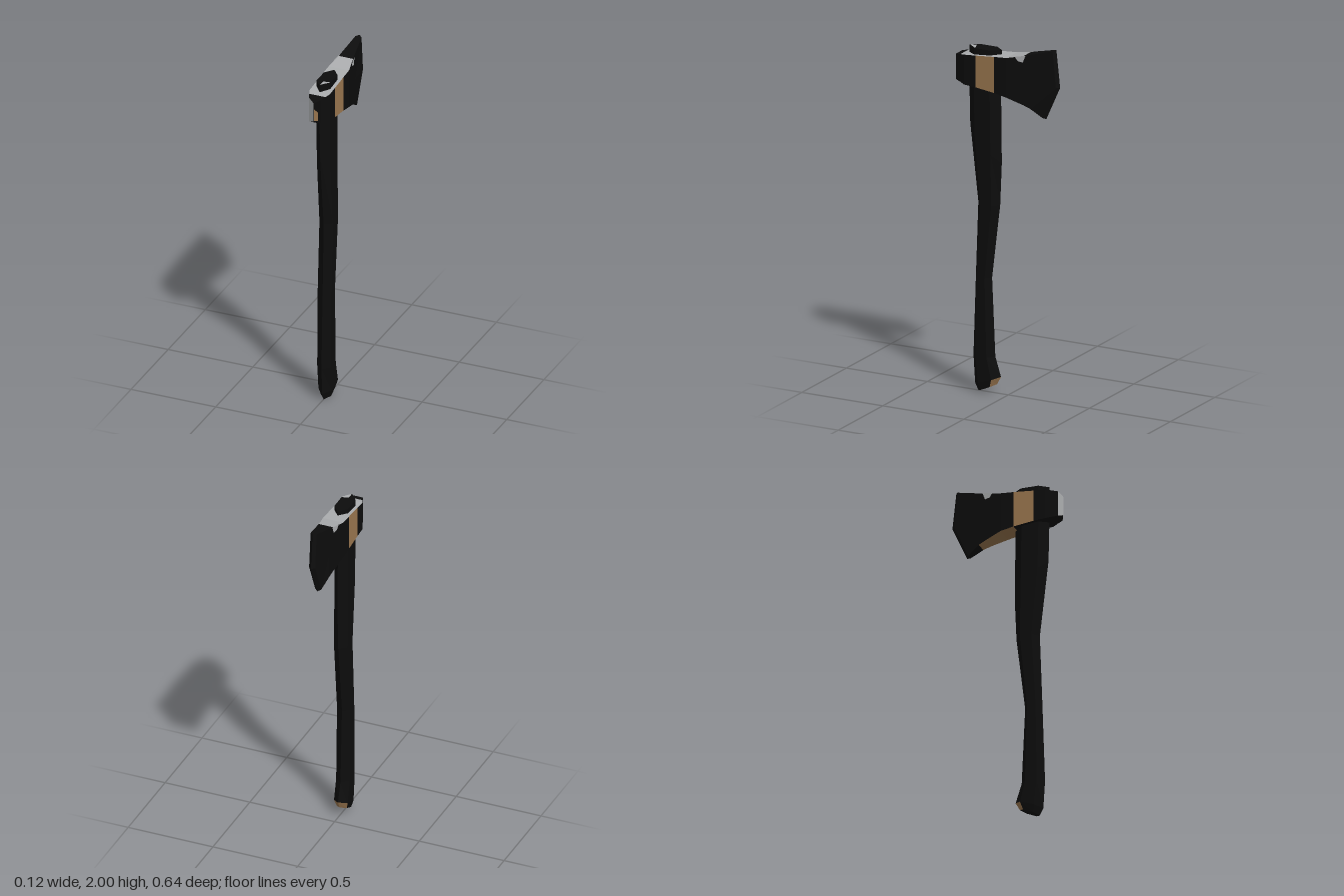
import * as THREE from 'three';

// Flat-shaded skin over equal-length rings; pick(i, j) gives the material index of each face
function loft(name, rings, materials, pick) {
  const buckets = materials.map(() => []);
  const n = rings[0].length;
  const add = (m, ...pts) => pts.forEach((p) => buckets[m].push(...p));
  for (let i = 0; i < rings.length - 1; i++) {
    for (let j = 0; j < n; j++) {
      const k = (j + 1) % n;
      const [a, b, c, d] = [rings[i][j], rings[i][k], rings[i + 1][k], rings[i + 1][j]];
      const m = pick(i, j);
      add(m, a, b, d);
      add(m, b, c, d);
    }
  }
  const first = rings[0], last = rings[rings.length - 1];
  for (let j = 1; j < n - 1; j++) {
    add(0, first[0], first[j + 1], first[j]);
    add(0, last[0], last[j], last[j + 1]);
  }
  const geometry = new THREE.BufferGeometry();
  geometry.setAttribute('position', new THREE.Float32BufferAttribute(buckets.flat(), 3));
  let start = 0;
  buckets.forEach((b, m) => {
    geometry.addGroup(start, b.length / 3, m);
    start += b.length / 3;
  });
  geometry.computeVertexNormals();
  const mesh = new THREE.Mesh(geometry, materials);
  mesh.name = name;
  return mesh;
}

// Thin painted patch from a convex outline
function patch(name, pts, material) {
  const out = [];
  for (let i = 1; i < pts.length - 1; i++) out.push(...pts[0], ...pts[i], ...pts[i + 1]);
  const geometry = new THREE.BufferGeometry();
  geometry.setAttribute('position', new THREE.Float32BufferAttribute(out, 3));
  geometry.computeVertexNormals();
  const mesh = new THREE.Mesh(geometry, material);
  mesh.name = name;
  return mesh;
}

export function createModel() {
  const group = new THREE.Group();
  group.name = 'axe';
  const black = new THREE.MeshStandardMaterial({ name: 'black', color: 0x0d0d0d });
  const grey = new THREE.MeshStandardMaterial({ name: 'steel grey', color: 0xacaeb0, side: THREE.DoubleSide });
  const brown = new THREE.MeshStandardMaterial({ name: 'tan brown', color: 0x9c7850, side: THREE.DoubleSide });
  const materials = [black, grey, brown];

  // Handle: six-sided sections given as half width, front [z, y], back [z, y]
  const handleRings = [
    [0.03, [0.185, 0], [0.07, 0.05]],
    [0.04, [0.205, 0.04], [0.045, 0.095]],
    [0.04, [0.215, 0.2], [0.08, 0.205]],
    [0.04, [0.2, 0.65], [0.1, 0.65]],
    [0.04, [0.185, 1.07], [0.05, 1.07]],
    [0.04, [0.235, 1.51], [0.04, 1.31]],
    [0.04, [0.24, 1.74], [0.045, 1.74]],
    [0.04, [0.24, 1.95], [0.04, 1.95]],
  ].map(([w, f, b]) => [[0, 0], [w, 0.25], [w, 0.75], [0, 1], [-w, 0.75], [-w, 0.25]].map(
    ([x, t]) => [x, f[1] + (b[1] - f[1]) * t, f[0] + (b[0] - f[0]) * t]));
  group.add(loft('handle', handleRings, materials,
    (i, j) => (i === 0 && (j === 2 || j === 3) ? 2 : 0)));

  // Worn corner on the handle top
  group.add(patch('handleTopChip',
    [[0, 1.953, 0.235], [0.038, 1.953, 0.19], [0.038, 1.953, 0.182], [0, 1.953, 0.195]], grey));

  // Head: stations from poll to edge as half width, z (top, middle, bottom), y (top, middle, bottom)
  const flat = (w, z, top, bottom) => [w, [z, z, z], [top, (top + bottom) / 2, bottom]];
  const headRings = [
    flat(0, 0.32, 1.88, 1.77),
    flat(0.035, 0.303, 1.9, 1.755),
    flat(0.048, 0.27, 1.905, 1.748),
    flat(0.06, 0.24, 1.91, 1.74),
    flat(0.06, 0.17, 1.915, 1.735),
    flat(0.06, 0.055, 1.925, 1.72),
    flat(0.06, -0.02, 1.93, 1.705),
    flat(0.042, -0.115, 1.95, 1.672),
    flat(0.036, -0.155, 1.962, 1.655),
    [0.018, [-0.283, -0.303, -0.222], [1.995, 1.79, 1.608]],
    [0, [-0.297, -0.32, -0.235], [2, 1.79, 1.6]],
  ].map(([w, z, y]) => [[w, 0], [w, 1], [w, 2], [-w, 2], [-w, 1], [-w, 0]].map(
    ([x, k]) => [x, y[k], z[k]]));
  group.add(loft('head', headRings, materials, (i, j) => {
    if (j === 5) return i >= 2 && i <= 6 ? 1 : 0;      // top
    if (j === 2) return i >= 5 && i <= 7 ? 2 : 0;      // underside
    if (i === 4) return 2;                             // side band
    return i === 0 && j > 2 ? 1 : 0;                   // poll face
  }));

  // Brown mark on the poll face
  group.add(patch('pollMark', [
    [0.002, 1.775, 0.321], [0.022, 1.775, 0.312], [0.022, 1.825, 0.312], [0.002, 1.845, 0.321],
  ], brown));

  // Bare metal chips high on both cheeks
  for (const s of [1, -1]) {
    const cheek = (y, z) => [s * (0.0585 + 0.17 * (z + 0.02) + 0.004), y, z];
    const pts = [cheek(1.943, -0.07), cheek(1.92, -0.085), cheek(1.915, -0.115), cheek(1.955, -0.13)];
    group.add(patch('cheekChip', s > 0 ? pts : pts.reverse(), grey));
  }
  return group;
}
